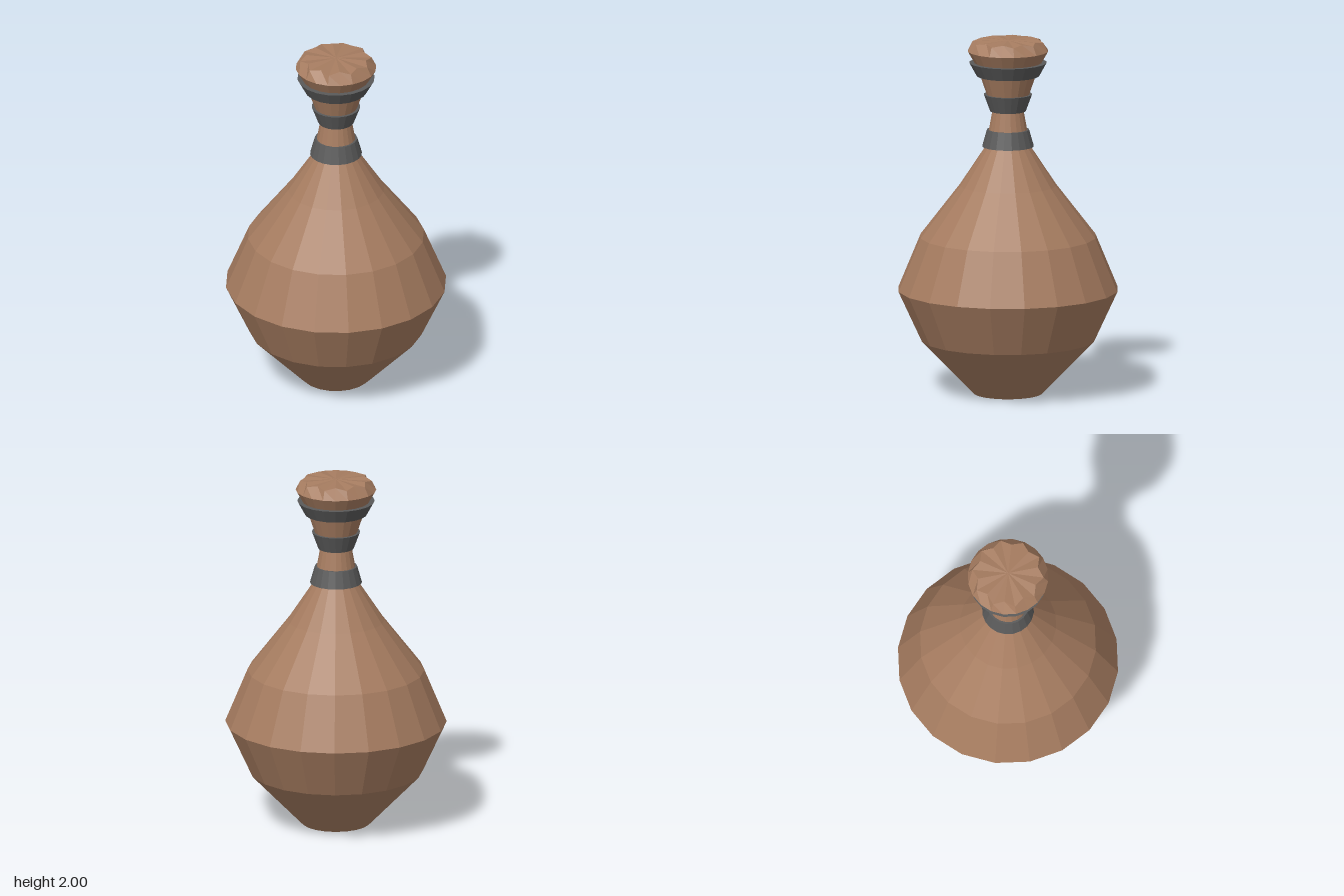
import * as THREE from 'three';

const SIDES = 20;
const brown = new THREE.MeshStandardMaterial({ color: 0xa67c60, flatShading: true });
const grey = new THREE.MeshStandardMaterial({ color: 0x5a5a5a, flatShading: true });

// Turned faceted part from [radius, height] pairs, listed bottom to top on the outside
function turned(name, profile, material) {
  const points = profile.map(([r, y]) => new THREE.Vector2(r, y));
  const mesh = new THREE.Mesh(new THREE.LatheGeometry(points, SIDES), material);
  mesh.name = name;
  return mesh;
}

// Closed tapered ring wrapped around the neck
function band(name, y0, y1, r0, r1, inner) {
  return turned(name, [[inner, y0], [r0, y0], [r1, y1], [inner, y1], [inner, y0]], grey);
}

export function createModel() {
  const model = new THREE.Group();
  model.name = 'flask';

  // Bulbous body running up into the pinched neck and flared mouth
  model.add(turned('body', [
    [0, 0], [0.19, 0], [0.21, 0.02], [0.485, 0.305], [0.617, 0.59], [0.493, 0.89],
    [0.27, 1.18], [0.125, 1.4], [0.108, 1.49], [0.088, 1.6],
    [0.118, 1.69], [0.155, 1.8], [0.185, 1.87],
  ], brown));

  // Stopper with a scalloped top edge
  const stopperProfile = [[0.185, 1.87], [0.225, 1.94], [0.2, 1.99], [0, 2]];
  const stopper = turned('stopper', stopperProfile, brown);
  const pos = stopper.geometry.attributes.position;
  for (let i = 0; i <= SIDES; i += 2) {
    const v = i * stopperProfile.length + 2;
    pos.setXYZ(v, pos.getX(v) * 0.85, 2, pos.getZ(v) * 0.85);
  }
  stopper.geometry.computeVertexNormals();
  model.add(stopper);

  // Neck bands
  model.add(band('lowerBand', 1.4, 1.495, 0.145, 0.118, 0.09));
  model.add(band('middleBand', 1.6, 1.695, 0.1, 0.135, 0.08));
  model.add(band('upperBand', 1.8, 1.875, 0.175, 0.216, 0.15));

  return model;
}
